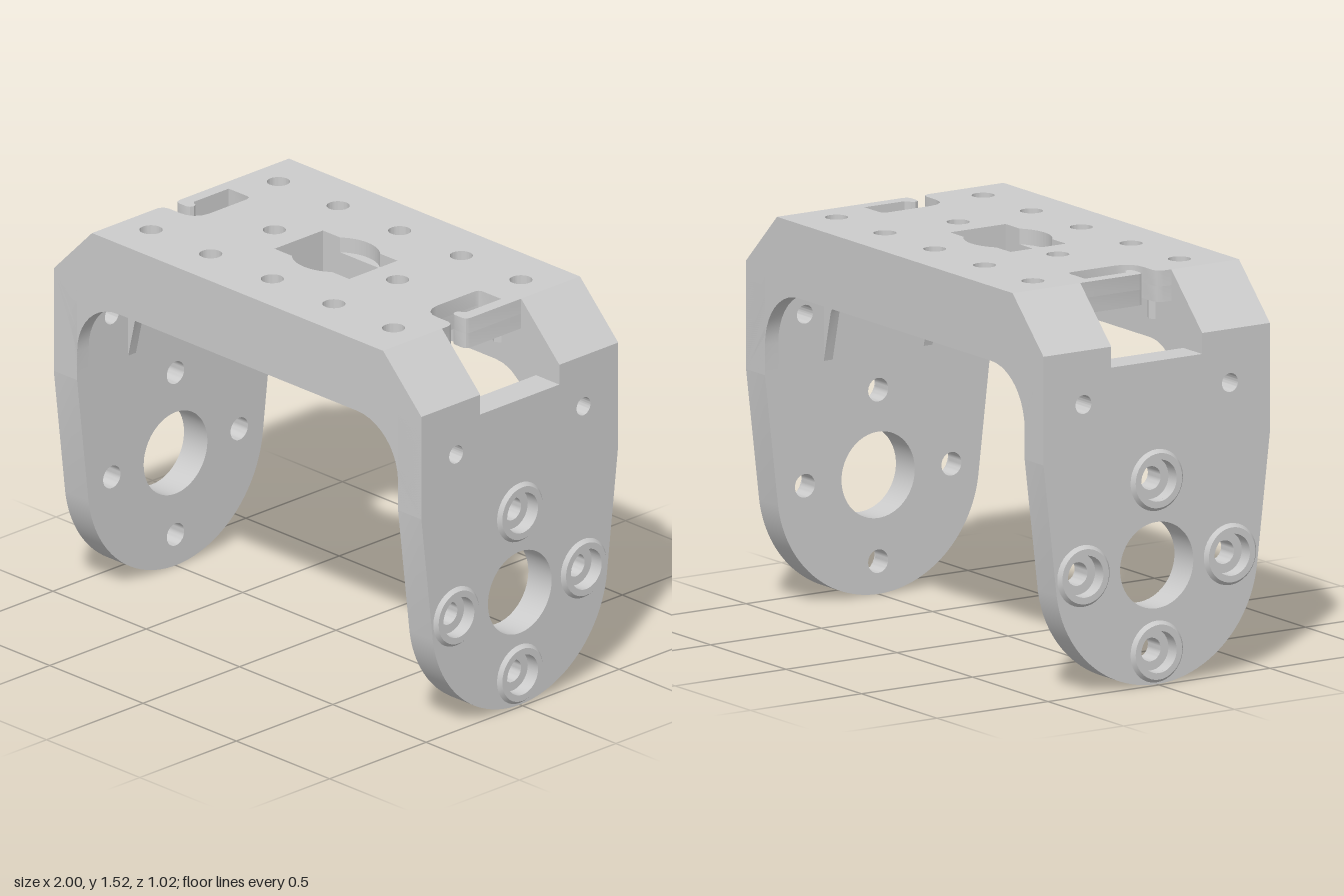
import * as THREE from 'three';
import { toCreasedNormals } from 'three/addons/utils/BufferGeometryUtils.js';

const grey = new THREE.MeshStandardMaterial({ color: 0xcccccc });

function mesh(name, geo, parent) {
  const m = new THREE.Mesh(toCreasedNormals(geo, 0.5), grey);
  m.name = name;
  parent.add(m);
  return m;
}
const extrude = (shape, depth) =>
  new THREE.ExtrudeGeometry(shape, { depth, bevelEnabled: false, curveSegments: 32 });
const poly = (pts) => new THREE.Shape(pts.map(([x, y]) => new THREE.Vector2(x, y)));
const circle = (x, y, r) => new THREE.Path().absarc(x, y, r, 0, Math.PI * 2, true);
const mirrored = (pts) => [...pts, ...pts.map(([x, y]) => [-x, y]).reverse()];

// Shape drawn in (x, z), hanging down from height top
const slab = (shape, top, depth) => extrude(shape, depth).rotateX(Math.PI / 2).translate(0, top, 0);
// Shape drawn in (x, y), running along z
const along = (shape, z0, z1) => extrude(shape, z1 - z0).translate(0, 0, z0);

const hexPoints = (x, z, r) => Array.from({ length: 6 }, (_, i) => {
  const a = Math.PI / 2 + (i * Math.PI) / 3;
  return [x + r * Math.cos(a), z + r * Math.sin(a)];
});

// Screw positions in the top plate
const screws = [[-0.33, 0], [0.33, 0]];
for (const x of [-0.65, -0.33, 0, 0.33, 0.65]) screws.push([x, -0.33], [x, 0.33]);

// Top plate outline with a hooked cable notch at each end
function topShape(window) {
  const end = [
    [0.78, -0.51], [0.78, 0.06], [0.774, 0.074], [0.76, 0.08], [0.72, 0.08], [0.706, 0.074],
    [0.7, 0.06], [0.706, 0.046], [0.72, 0.04], [0.73, 0.03], [0.73, -0.15], [0.63, -0.15],
    [0.616, -0.144], [0.61, -0.13], [0.61, 0.07], [0.617, 0.1], [0.635, 0.125], [0.66, 0.138],
    [0.69, 0.142], [0.75, 0.142], [0.771, 0.15], [0.78, 0.17], [0.78, 0.51],
  ];
  const s = poly(mirrored(end));
  s.holes.push(window, ...screws.map(([x, z]) => circle(x, z, 0.043)));
  return s;
}

// U-shaped profile: chamfered outside, rounded inner corners
function frameShape(inner) {
  return poly([
    ...mirrored([[0.985, 0.9], [0.985, 1.315], [0.78, 1.52]]),
    ...mirrored(inner.map(([x, y]) => [-x, y])),
  ]);
}

function buildArm() {
  const arm = new THREE.Group();
  // Side plate with tapered sides, round foot and slot at the top
  const s = new THREE.Shape();
  s.moveTo(0.51, 0.9);
  s.lineTo(0.51, 1.315);
  s.lineTo(0.205, 1.315);
  s.lineTo(0.205, 1.235);
  s.lineTo(-0.205, 1.235);
  s.lineTo(-0.205, 1.315);
  s.lineTo(-0.51, 1.315);
  s.lineTo(-0.51, 0.9);
  s.absarc(0, 0.455, 0.455, Math.PI + 0.13, Math.PI * 2 - 0.13, false);
  const bosses = [[0, 0.78], [0.33, 0.455], [-0.33, 0.455], [0, 0.125]];
  s.holes.push(circle(0, 0.455, 0.165));
  for (const z of [-0.33, 0.33]) s.holes.push(circle(z, 1.11, 0.036));
  for (const [z, y] of bosses) s.holes.push(circle(z, y, 0.08));
  mesh('sidePlate', extrude(s, 0.125).rotateY(Math.PI / 2).translate(0.86, 0, 0), arm);

  // Counterbored screw bosses
  const profile = [[0.118, 0.985], [0.105, 1], [0.08, 1], [0.08, 0.945], [0.045, 0.945], [0.045, 0.86], [0.081, 0.86]]
    .map(([r, x]) => new THREE.Vector2(r, x));
  for (const [z, y] of bosses) {
    mesh('screwBoss', new THREE.LatheGeometry(profile, 36).rotateZ(-Math.PI / 2), arm).position.set(0, y, z);
  }

  // Chamfered corners on both sides of the slot
  const corner = poly([[0.985, 1.315], [0.78, 1.52], [0.72, 1.52], [0.72, 1.4], [0.78, 1.4], [0.86, 1.315]]);
  for (const z of [-0.51, 0.205]) mesh('chamferCorner', along(corner, z, z + 0.305), arm);
  return arm;
}

export function createModel() {
  const root = new THREE.Group();
  root.name = 'bracket';

  // Top plate in two layers: the upper one has a round recess around the window
  const a = Math.asin(0.125 / 0.165);
  const recess = new THREE.Path();
  recess.moveTo(0.2, -0.125);
  recess.lineTo(0.2, 0.125);
  recess.absarc(0, 0, 0.165, a, Math.PI - a, false);
  recess.lineTo(-0.2, 0.125);
  recess.lineTo(-0.2, -0.125);
  recess.absarc(0, 0, 0.165, Math.PI + a, Math.PI * 2 - a, false);
  const rect = (w, d) => [[w, -d], [w, d], [-w, d], [-w, -d]];
  const windowHole = poly(rect(0.2, 0.125));
  mesh('topPlateUpper', slab(topShape(recess), 1.52, 0.06), root);
  mesh('topPlateLower', slab(topShape(windowHole), 1.46, 0.06), root);

  // Rim around the window underneath
  const rim = poly(rect(0.23, 0.155));
  rim.holes.push(windowHole);
  mesh('windowRim', slab(rim, 1.4, 0.06), root);

  // Front and back walls with rounded inner corners
  const fillet = [[0.86, 0.9]];
  for (let i = 0; i <= 10; i++) {
    const t = (i / 10) * Math.PI / 2;
    fillet.push([0.64 + 0.22 * Math.cos(t), 1.015 + 0.22 * Math.sin(t)]);
  }
  const wall = frameShape(fillet);
  mesh('frontWall', along(wall, 0.45, 0.51), root);
  mesh('backWall', along(wall, -0.51, -0.45), root);

  // Inner ribs with gussets tapering down the arms
  const gusset = [[0.865, 0.9], [0.815, 1.11], [0.795, 1.15], [0.765, 1.185], [0.725, 1.215], [0.685, 1.23], [0.64, 1.235]];
  const rib = frameShape(gusset);
  for (const z of [-0.245, 0.205]) mesh('innerRib', along(rib, z, z + 0.04), root);

  // Hexagonal nut pockets under the screw holes
  for (const [x, z] of screws) {
    const hex = poly(hexPoints(x, z, 0.14));
    hex.holes.push(poly(hexPoints(x, z, 0.1)));
    mesh('nutPocket', slab(hex, 1.4, z ? 0.09 : 0.06), root);
  }

  // Short webs joining the pockets of each row
  for (const z of [-0.33, 0.33]) {
    for (const x of [-0.49, -0.165, 0.165, 0.49]) {
      mesh('pocketWeb', new THREE.BoxGeometry(0.12, 0.09, 0.03), root).position.set(x, 1.355, z);
    }
  }

  // Arms on both sides
  const left = buildArm();
  left.name = 'leftArm';
  const right = buildArm();
  right.name = 'rightArm';
  right.rotation.y = Math.PI;
  root.add(left, right);
  return root;
}
